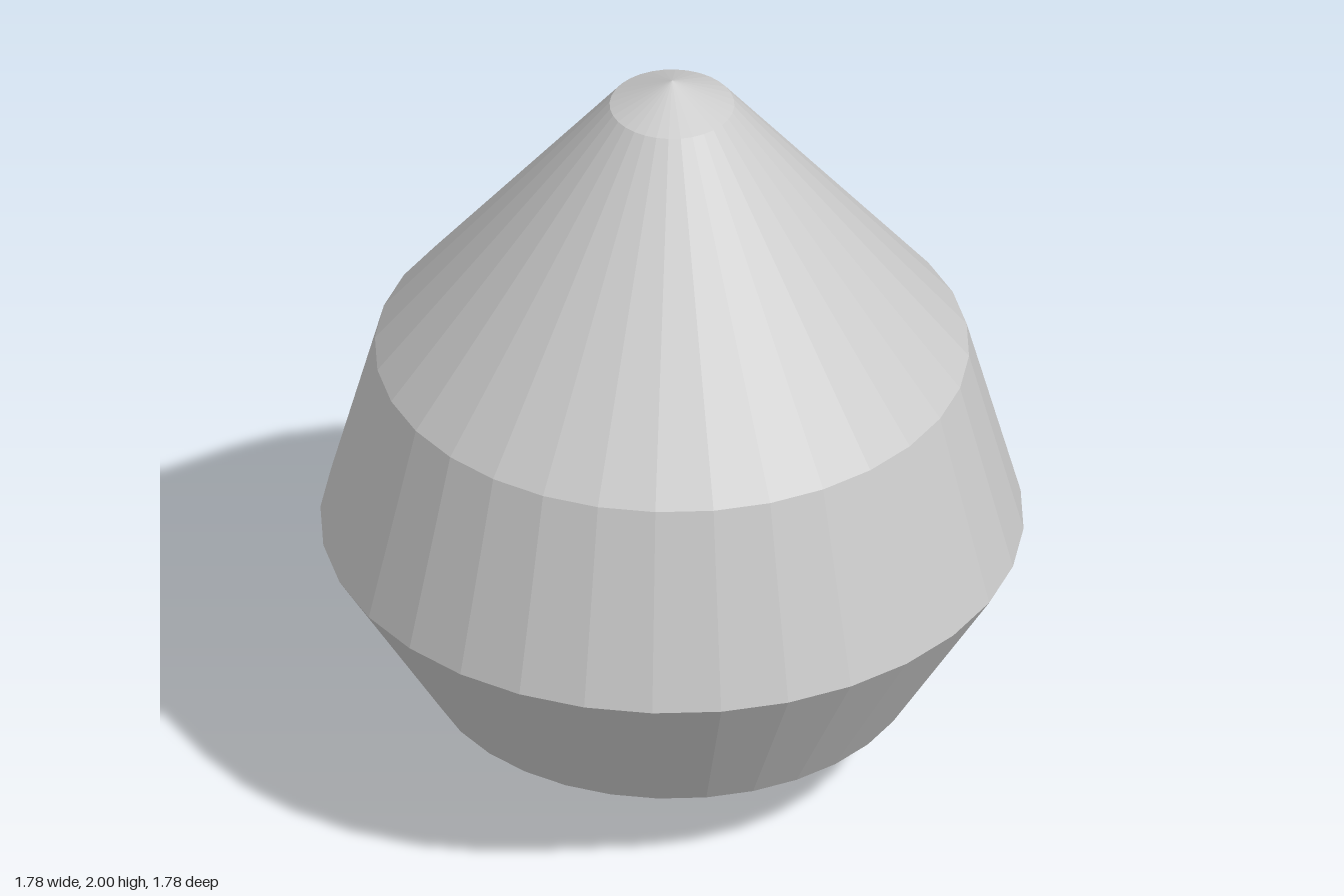
import * as THREE from 'three';

const SIDES = 32;

// Faceted solid of revolution; profile runs from bottom to top as [radius, height]
function turned(name, profile, material) {
  const points = profile.map(([r, y]) => new THREE.Vector2(r, y));
  const mesh = new THREE.Mesh(new THREE.LatheGeometry(points, SIDES), material);
  mesh.name = name;
  return mesh;
}

export function createModel() {
  const group = new THREE.Group();
  group.name = 'spinningTop';
  const material = new THREE.MeshStandardMaterial({ color: 0xcccccc, flatShading: true });

  // Shallow bowl at the base, then the flare out to the widest rim
  group.add(turned('lowerBody', [
    [0, 0], [0.15, 0.02], [0.29, 0.063], [0.43, 0.12], [0.62, 0.23], [0.89, 0.67],
  ], material));

  // Tapered band, long cone and blunt tip
  group.add(turned('upperBody', [
    [0.89, 0.67], [0.752, 1.19], [0.158, 1.928], [0, 2],
  ], material));

  return group;
}
